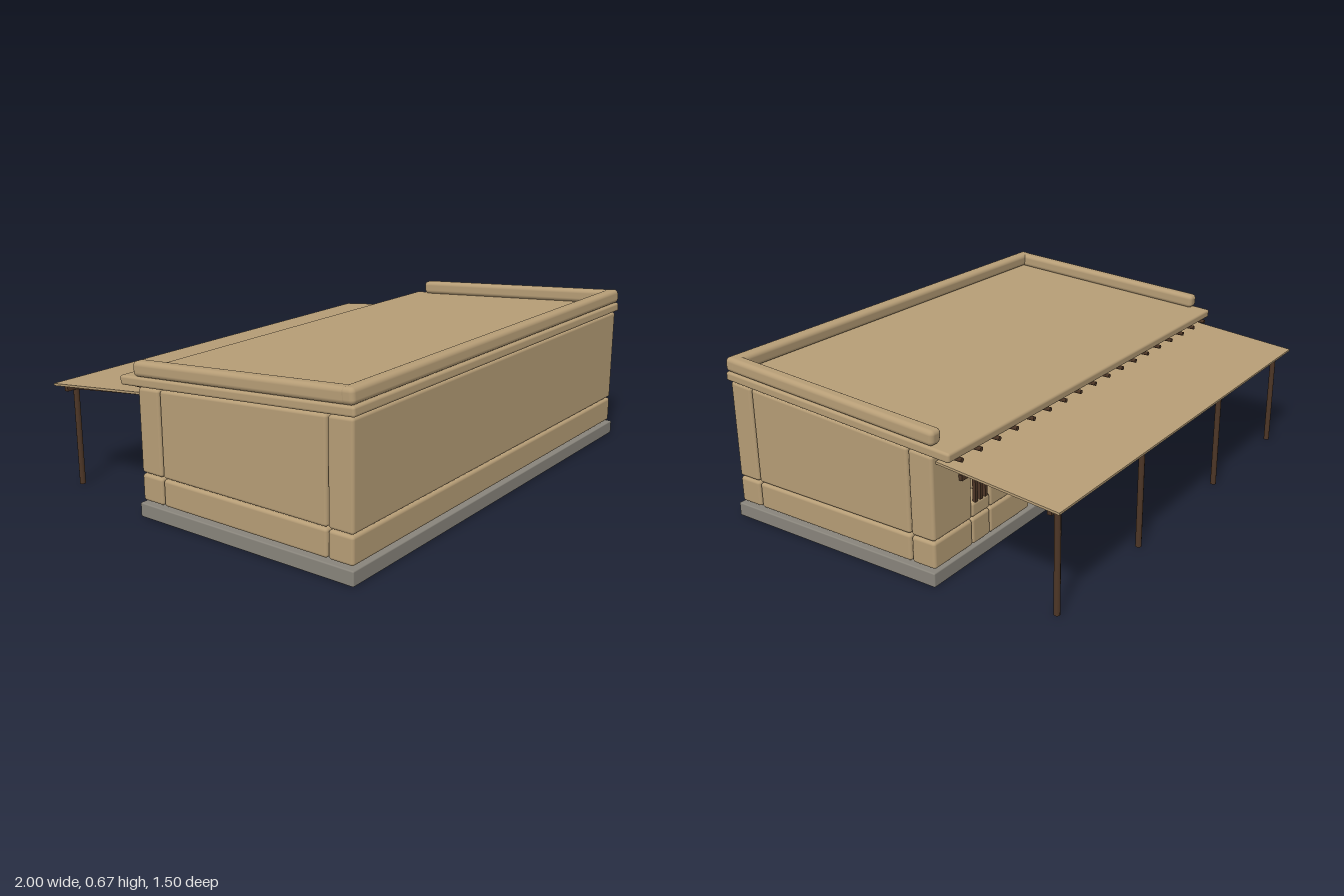
import * as THREE from 'three';
import { RoundedBoxGeometry } from 'three/addons/geometries/RoundedBoxGeometry.js';

const SLOPE = 0.07;
const paint = (name, color) => {
  const m = new THREE.MeshStandardMaterial({ color });
  m.name = name;
  return m;
};

export function createModel() {
  const adobe = paint('adobe', 0xb69d76);
  const stone = paint('stone', 0x88847b);
  const timber = paint('timber', 0x4d3626);
  const doorWood = paint('doorWood', 0x6a4936);

  const model = new THREE.Group();
  model.name = 'adobeHouse';
  const wallTop = (z) => 0.522 + SLOPE * z;

  const add = (parent, name, geometry, material, x = 0, y = 0, z = 0) => {
    const mesh = new THREE.Mesh(geometry, material);
    mesh.name = name;
    mesh.position.set(x, y, z);
    parent.add(mesh);
    return mesh;
  };
  const box = (parent, name, mat, [x0, x1], [y0, y1], [z0, z1]) =>
    add(parent, name, new THREE.BoxGeometry(x1 - x0, y1 - y0, z1 - z0), mat,
      (x0 + x1) / 2, (y0 + y1) / 2, (z0 + z1) / 2);
  const rounded = (parent, name, mat, [x0, x1], [y0, y1], [z0, z1], r = 0.012) =>
    add(parent, name, new RoundedBoxGeometry(x1 - x0, y1 - y0, z1 - z0, 3, r), mat,
      (x0 + x1) / 2, (y0 + y1) / 2, (z0 + z1) / 2);

  // Wall block whose top follows the roof slope
  const slopedBlock = (parent, name, xs, y0, zs) => {
    const mesh = rounded(parent, name, adobe, xs, [y0, wallTop((zs[0] + zs[1]) / 2)], zs);
    const p = mesh.geometry.attributes.position;
    for (let i = 0; i < p.count; i++) {
      if (p.getY(i) > 0) p.setY(i, p.getY(i) + SLOPE * p.getZ(i));
    }
    mesh.geometry.computeBoundingSphere();
    return mesh;
  };

  // Foundation
  rounded(model, 'foundation', stone, [-1, 1], [0, 0.057], [-0.25, 0.75], 0.005);

  // Front and side walls, each a base course with a taller block above
  const walls = new THREE.Group();
  walls.name = 'walls';
  model.add(walls);
  const BASE = [0.064, 0.171], UPPER = 0.175;
  const course = (name, xs, zs) => {
    rounded(walls, name + 'Base', adobe, xs, BASE, zs);
    slopedBlock(walls, name, xs, UPPER, zs);
  };
  course('frontWall', [-0.988, 0.988], [0.635, 0.74]);
  course('leftWall', [0.883, 0.988], [-0.134, 0.63]);
  course('rightWall', [-0.988, -0.883], [-0.134, 0.63]);

  // Back wall, split around two doors and two windows
  const BACK = [-0.245, -0.139];
  const doors = [0.295, -0.565], windows = [0.71, -0.2];
  const DOOR = 0.1, WINDOW = 0.055;
  const edges = [0.988, 0.765, 0.655, 0.395, 0.195, -0.145, -0.255, -0.465, -0.665, -0.988];
  for (let i = 0; i < edges.length; i += 2) course('backWall', [edges[i + 1], edges[i]], BACK);

  doors.forEach((x) => {
    const xs = [x - DOOR, x + DOOR];
    slopedBlock(walls, 'doorHeader', xs, 0.45, BACK);
    box(model, 'doorLintel', timber, [x - 0.135, x + 0.135], [0.42, 0.45], [-0.26, -0.139]);
  });
  windows.forEach((x) => {
    const xs = [x - WINDOW, x + WINDOW];
    rounded(walls, 'windowBase', adobe, xs, BASE, BACK);
    rounded(walls, 'windowSill', adobe, xs, [UPPER, 0.235], BACK);
    slopedBlock(walls, 'windowHeader', xs, 0.382, BACK);
    box(model, 'windowLintel', timber, [x - 0.13, x + 0.13], [0.36, 0.382], [-0.26, -0.139]);
    for (const dx of [-0.03, 0, 0.03]) {
      box(model, 'windowBar', timber, [x + dx - 0.007, x + dx + 0.007], [0.232, 0.362], [-0.247, -0.233]);
    }
  });

  // One door stands open into the room, the other is shut
  box(model, 'openDoor', doorWood, [0.197, 0.212], [0.06, 0.418], [-0.137, 0.05]);
  box(model, 'closedDoor', doorWood, [-0.665, -0.465], [0.06, 0.42], [-0.2, -0.185]);

  // Sloping roof with a parapet on three sides
  const roof = new THREE.Group();
  roof.name = 'roof';
  roof.position.set(0, 0.578, 0.21);
  roof.rotation.x = -Math.atan(SLOPE);
  model.add(roof);
  rounded(roof, 'roofSlab', adobe, [-0.998, 0.998], [-0.037, 0], [-0.541, 0.541], 0.01);
  rounded(roof, 'frontParapet', adobe, [-1, 1], [0.001, 0.06], [0.485, 0.541], 0.018);
  for (const s of [-1, 1]) {
    rounded(roof, 'sideParapet', adobe, [s * 0.971 - 0.028, s * 0.971 + 0.028], [0, 0.059], [-0.468, 0.54], 0.018);
  }

  // Roof log ends under the rear eave
  const log = new THREE.CylinderGeometry(0.009, 0.009, 0.2, 8).rotateX(Math.PI / 2);
  for (let i = 0; i < 18; i++) {
    add(model, 'roofLog', log, timber, 0.93 - i * 0.11, 0.496, -0.234);
  }

  // Rear porch: thin canopy, rafters, beam and posts
  const span = (name, mat, x, w, t, [z0, y0], [z1, y1]) => {
    const geo = new THREE.BoxGeometry(w, t, Math.hypot(z1 - z0, y1 - y0));
    const mesh = add(model, name, geo, mat, x, (y0 + y1) / 2, (z0 + z1) / 2);
    mesh.rotation.x = -Math.atan((y1 - y0) / (z1 - z0));
  };
  span('canopy', adobe, -0.002, 1.936, 0.009, [-0.245, 0.477], [-0.75, 0.426]);
  box(model, 'porchBeam', timber, [-0.95, 0.95], [0.402, 0.42], [-0.71, -0.692]);
  const post = new THREE.CylinderGeometry(0.012, 0.012, 0.42, 10);
  for (const x of [-0.9, -0.328, 0.328, 0.9]) {
    add(model, 'porchPost', post, timber, x, 0.21, -0.702);
    span('rafter', timber, x, 0.018, 0.014, [-0.24, 0.461], [-0.712, 0.408]);
  }

  return model;
}
